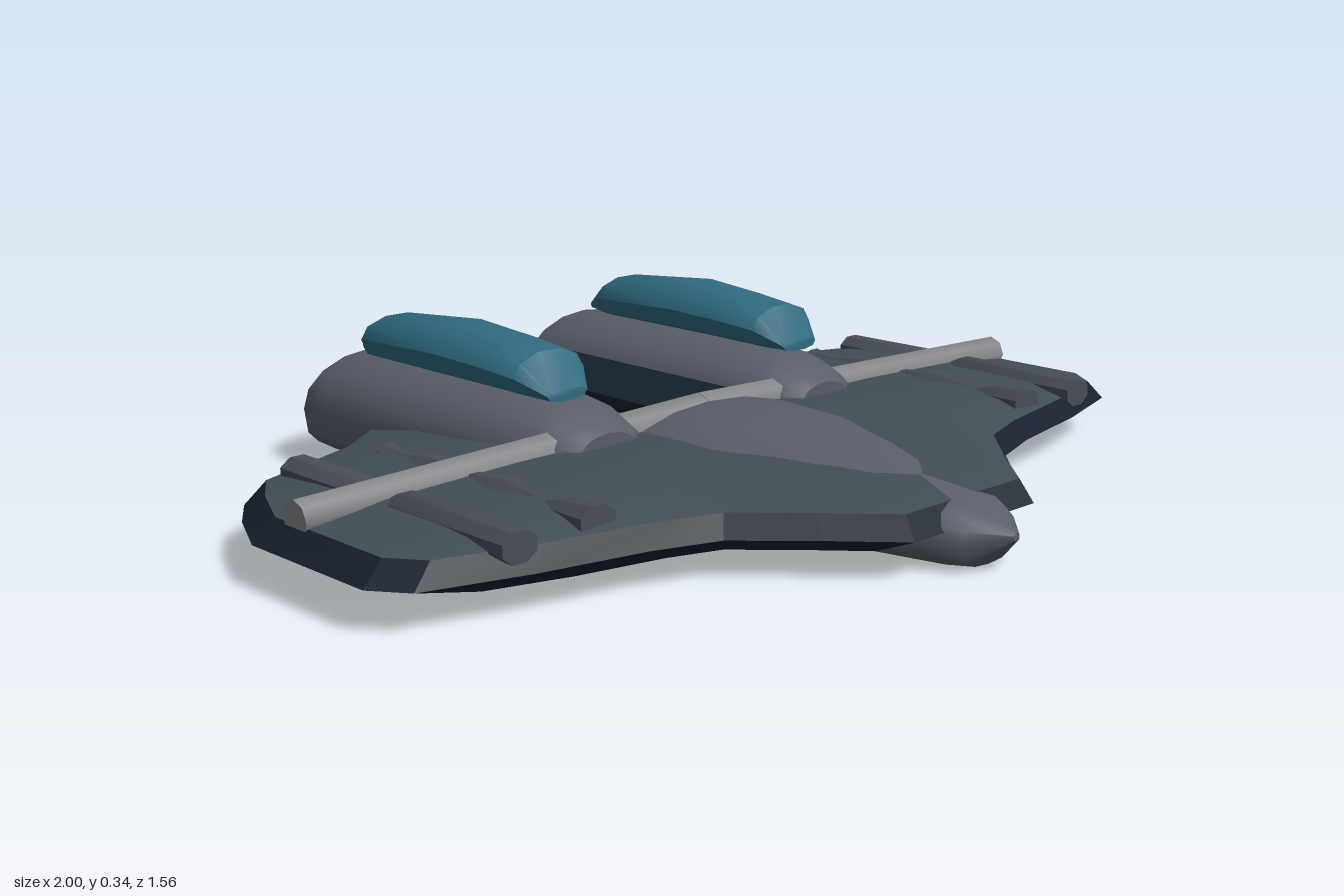
import * as THREE from 'three';
import { toCreasedNormals } from 'three/addons/utils/BufferGeometryUtils.js';

const paint = (color) => new THREE.MeshStandardMaterial({ color });
const MAT = {
  wing: paint(0x414e54), under: paint(0x18222e), body: paint(0x585d69), gun: paint(0x484d56),
  spar: paint(0x85868a), glass: paint(0x2f6b80), block: paint(0x12202a),
};

// Skins a stack of closed loops; a cap is a fan round the loop's mean, or a given point.
function loft(loops, capStart = true, capEnd = true, crease = 0.6) {
  const n = loops[0].length, pos = [], idx = [];
  loops.forEach((l) => l.forEach((p) => pos.push(...p)));
  for (let i = 0; i < loops.length - 1; i++) {
    for (let j = 0; j < n; j++) {
      const a = i * n + j, b = i * n + (j + 1) % n;
      idx.push(a, a + n, b, b, a + n, b + n);
    }
  }
  const cap = (k, centre, flip) => {
    const l = loops[k];
    const c = Array.isArray(centre) ? centre
      : [0, 1, 2].map((q) => l.reduce((s, p) => s + p[q], 0) / n);
    const m = pos.length / 3;
    pos.push(...c);
    for (let j = 0; j < n; j++) {
      const a = k * n + j, b = k * n + (j + 1) % n;
      idx.push(m, flip ? b : a, flip ? a : b);
    }
  };
  if (capStart) cap(0, capStart, false);
  if (capEnd) cap(loops.length - 1, capEnd, true);
  const g = new THREE.BufferGeometry();
  g.setAttribute('position', new THREE.Float32BufferAttribute(pos, 3));
  g.setIndex(idx);
  return toCreasedNormals(g, crease);
}

// Cross-sections [z, half width, bottom, middle, top], listed from front to back.
// power below 1 squares off the lower half.
function hull(sections, sides, power = 1, phase = 0, crease = 0.6) {
  return loft(sections.map(([z, w, lo, mid, hi]) =>
    Array.from({ length: sides }, (_, j) => {
      const a = ((j + phase) / sides) * Math.PI * 2, c = Math.cos(a), s = Math.sin(a);
      if (s >= -1e-6) return [w * c, mid + (hi - mid) * s, z];
      return [w * Math.sign(c) * Math.abs(c) ** power, mid - (mid - lo) * Math.abs(s) ** power, z];
    })), true, true, crease);
}

function add(group, name, geometry, material, x = 0, y = 0, z = 0) {
  const mesh = new THREE.Mesh(geometry, material);
  mesh.name = name;
  mesh.position.set(x, y, z);
  group.add(mesh);
  return mesh;
}

export function createModel() {
  const model = new THREE.Group();
  model.name = 'spacecraft';

  // Wing: one mirrored outline, shrunk ring by ring towards top and bottom
  const half = [[0.17, 0.69], [0.28, 0.57], [0.4, 0.45], [0.53, 0.405], [0.75, 0.36], [0.95, 0.3],
    [1, 0.23], [1, -0.1], [0.94, -0.23], [0.88, -0.32], [0.62, -0.42], [0.51, -0.5], [0.2, -0.5]];
  const outline = [...half, ...half.map(([x, z]) => [-x, z]).reverse()];
  const ring = (s, y) => outline.map(([x, z]) => [x * s, y, 0.04 + (z - 0.04) * s]);
  add(model, 'wingTop', loft([ring(0.5, 0.148), ring(0.8, 0.138), ring(0.955, 0.118)],
    [0, 0.152, 0.04], false), MAT.wing);
  add(model, 'wingUnderside', loft([ring(0.955, 0.118), ring(1, 0.075), ring(0.82, 0.025)],
    false, [0, 0.015, 0.04], 0.35), MAT.under);

  // Central nose body with a flat keel
  add(model, 'noseBody', hull([
    [0.78, 0.008, 0.06, 0.068, 0.075],
    [0.72, 0.075, 0.004, 0.06, 0.105],
    [0.67, 0.11, 0, 0.065, 0.12],
    [0.55, 0.15, 0, 0.07, 0.14],
    [0.4, 0.2, 0, 0.08, 0.16],
    [0.2, 0.25, 0, 0.09, 0.176],
    [0.02, 0.26, 0, 0.09, 0.18],
    [-0.04, 0.24, 0.03, 0.09, 0.172],
  ], 16, 0.7), MAT.body);

  // Dark block between the pods
  add(model, 'centreBlock', new THREE.BoxGeometry(0.23, 0.125, 0.76), MAT.block, 0, 0.115, -0.4);

  const podGeo = hull([
    [0.045, 0.07, 0.1, 0.14, 0.175],
    [0.015, 0.11, 0.06, 0.13, 0.195],
    [-0.06, 0.14, 0.03, 0.12, 0.222],
    [-0.2, 0.165, 0.02, 0.12, 0.236],
    [-0.45, 0.18, 0.02, 0.12, 0.238],
    [-0.65, 0.188, 0.02, 0.12, 0.234],
    [-0.73, 0.175, 0.02, 0.115, 0.22],
    [-0.78, 0.13, 0.024, 0.1, 0.17],
  ], 16, 0.6);
  const canopyGeo = hull([
    [-0.05, 0.05, 0.225, 0.24, 0.25],
    [-0.105, 0.088, 0.225, 0.272, 0.318],
    [-0.2, 0.094, 0.225, 0.28, 0.328],
    [-0.35, 0.096, 0.225, 0.285, 0.34],
    [-0.6, 0.092, 0.225, 0.275, 0.318],
    [-0.72, 0.006, 0.225, 0.235, 0.24],
  ], 10, 0.8, 0, 0.75);

  // Gun parts lie along z: [z, radius] stations, slightly flattened
  const gun = (stations) => hull(stations.map(([z, r]) => [z, r, -r * 0.75, 0, r * 0.75]), 8, 1, 0.5);
  const cannonFront = gun([[0.355, 0.04], [0.04, 0.042], [-0.005, 0.012]]);
  const cannonRear = gun([[-0.035, 0.012], [-0.075, 0.042], [-0.3, 0.04]]);
  const spindleFront = gun([[0.35, 0.042], [0.27, 0.036], [0.21, 0.016], [0.11, 0.042], [0, 0.024]]);
  const spindleRear = gun([[-0.03, 0.024], [-0.1, 0.038], [-0.2, 0.016], [-0.26, 0.03]]);

  // Cross spar, sloping gently down to the tips
  const sparStart = new THREE.Vector3(0, 0.149, -0.025), sparEnd = new THREE.Vector3(0.96, 0.128, -0.025);
  const sparGeo = toCreasedNormals(
    new THREE.CylinderGeometry(0.037, 0.042, sparStart.distanceTo(sparEnd), 8), 0.9);
  const up = new THREE.Vector3(0, 1, 0);

  for (const [side, s] of [['left', 1], ['right', -1]]) {
    add(model, side + 'Pod', podGeo, MAT.body, s * 0.305);
    add(model, side + 'Canopy', canopyGeo, MAT.glass, s * 0.325);
    add(model, side + 'CannonFront', cannonFront, MAT.gun, s * 0.775, 0.125);
    add(model, side + 'CannonRear', cannonRear, MAT.gun, s * 0.775, 0.125);
    add(model, side + 'SpindleFront', spindleFront, MAT.gun, s * 0.6, 0.13);
    add(model, side + 'SpindleRear', spindleRear, MAT.gun, s * 0.6, 0.132);
    const spar = add(model, side + 'Spar', sparGeo, MAT.spar, s * 0.48, 0.1385, -0.025);
    const dir = sparEnd.clone().sub(sparStart).normalize();
    dir.x *= s;
    spar.quaternion.setFromUnitVectors(up, dir);
  }
  return model;
}
